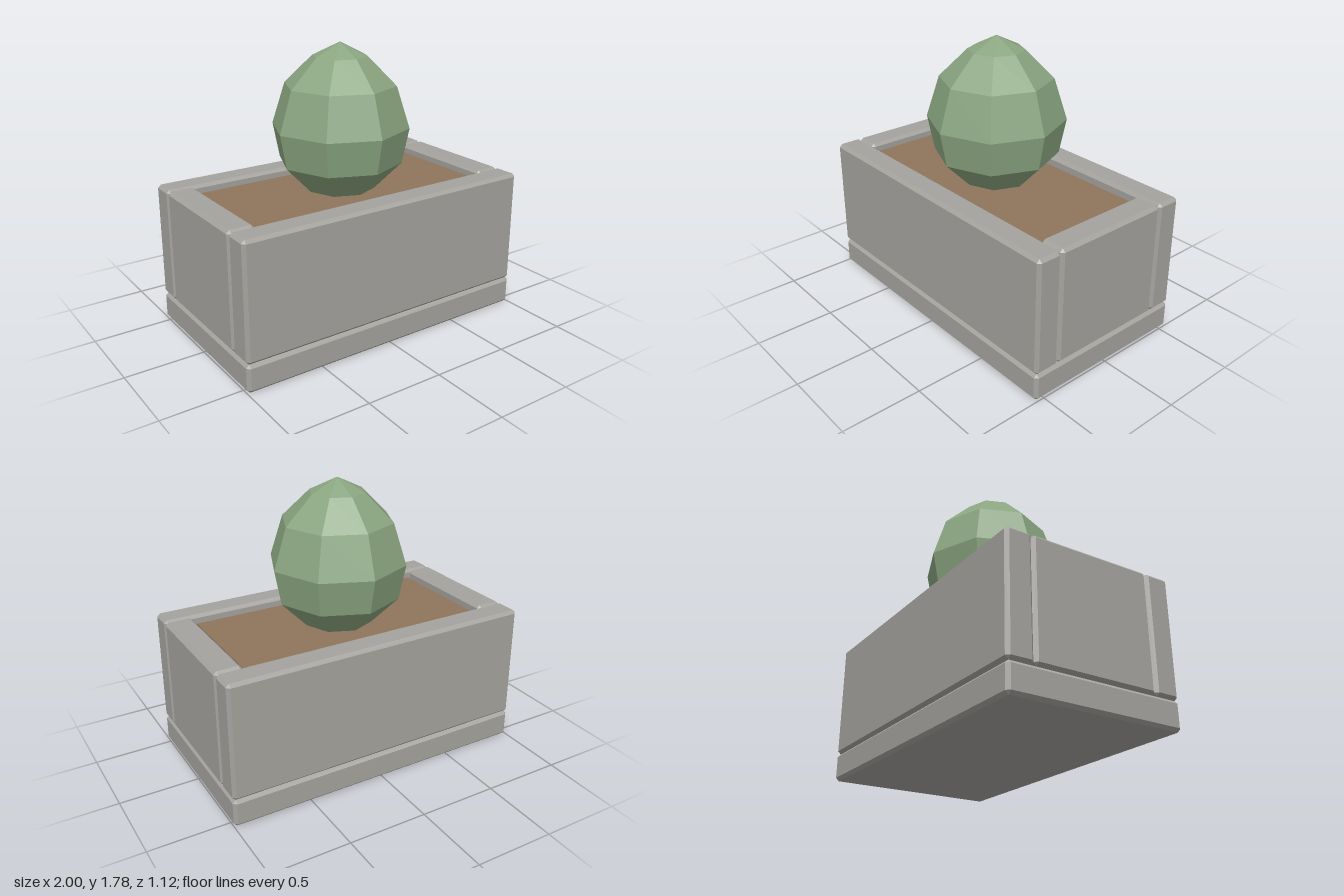
import * as THREE from 'three';
import { ConvexGeometry } from 'three/addons/geometries/ConvexGeometry.js';

const BEVEL = 0.02;

// Block with every edge and corner chamfered
function chamferedBox(w, h, d, c = BEVEL) {
  const points = [];
  for (const sx of [-1, 1]) for (const sy of [-1, 1]) for (const sz of [-1, 1]) {
    const x = w / 2, y = h / 2, z = d / 2;
    points.push(
      new THREE.Vector3(sx * x, sy * (y - c), sz * (z - c)),
      new THREE.Vector3(sx * (x - c), sy * y, sz * (z - c)),
      new THREE.Vector3(sx * (x - c), sy * (y - c), sz * z)
    );
  }
  return new ConvexGeometry(points);
}

function material(name, color) {
  const m = new THREE.MeshStandardMaterial({ color, flatShading: true });
  m.name = name;
  return m;
}

export function createModel() {
  const planter = new THREE.Group();
  planter.name = 'planter';
  const stone = material('stone', 0xa5a39e);
  const earth = material('earth', 0x8e745c);
  const leaf = material('leaf', 0x8aa580);

  const add = (name, geometry, mat, x, y, z) => {
    const mesh = new THREE.Mesh(geometry, mat);
    mesh.name = name;
    mesh.position.set(x, y, z);
    planter.add(mesh);
  };

  const baseH = 0.177, rim = 0.915, halfDepth = 0.562, inner = 0.395;
  const wallH = rim - baseH, wallY = (rim + baseH) / 2, thick = halfDepth - inner;

  // Base slab
  add('base', chamferedBox(2, baseH, halfDepth * 2), stone, 0, baseH / 2, 0);

  // Long walls front and back, short walls between them
  for (const s of [1, -1]) {
    add(s > 0 ? 'frontWall' : 'backWall', chamferedBox(2, wallH, thick), stone,
      0, wallY, s * (halfDepth - thick / 2));
    add(s > 0 ? 'leftWall' : 'rightWall', chamferedBox(0.172, wallH, inner * 2), stone,
      s * 0.914, wallY, 0);
  }

  // Soil, just below the rim with a narrow gap around it
  const soilTop = 0.87;
  add('soil', new THREE.BoxGeometry(1.61, soilTop - baseH, 0.735), earth,
    0, (soilTop + baseH) / 2, 0);

  // Eight-sided egg-shaped bush
  const profile = [
    [0, 0.865], [0.215, 0.865], [0.39, 1.045], [0.433, 1.265],
    [0.35, 1.525], [0.173, 1.7], [0, 1.785]
  ].map(([r, y]) => new THREE.Vector2(r, y));
  add('bush', new THREE.LatheGeometry(profile, 8), leaf, 0, 0, 0);

  return planter;
}
